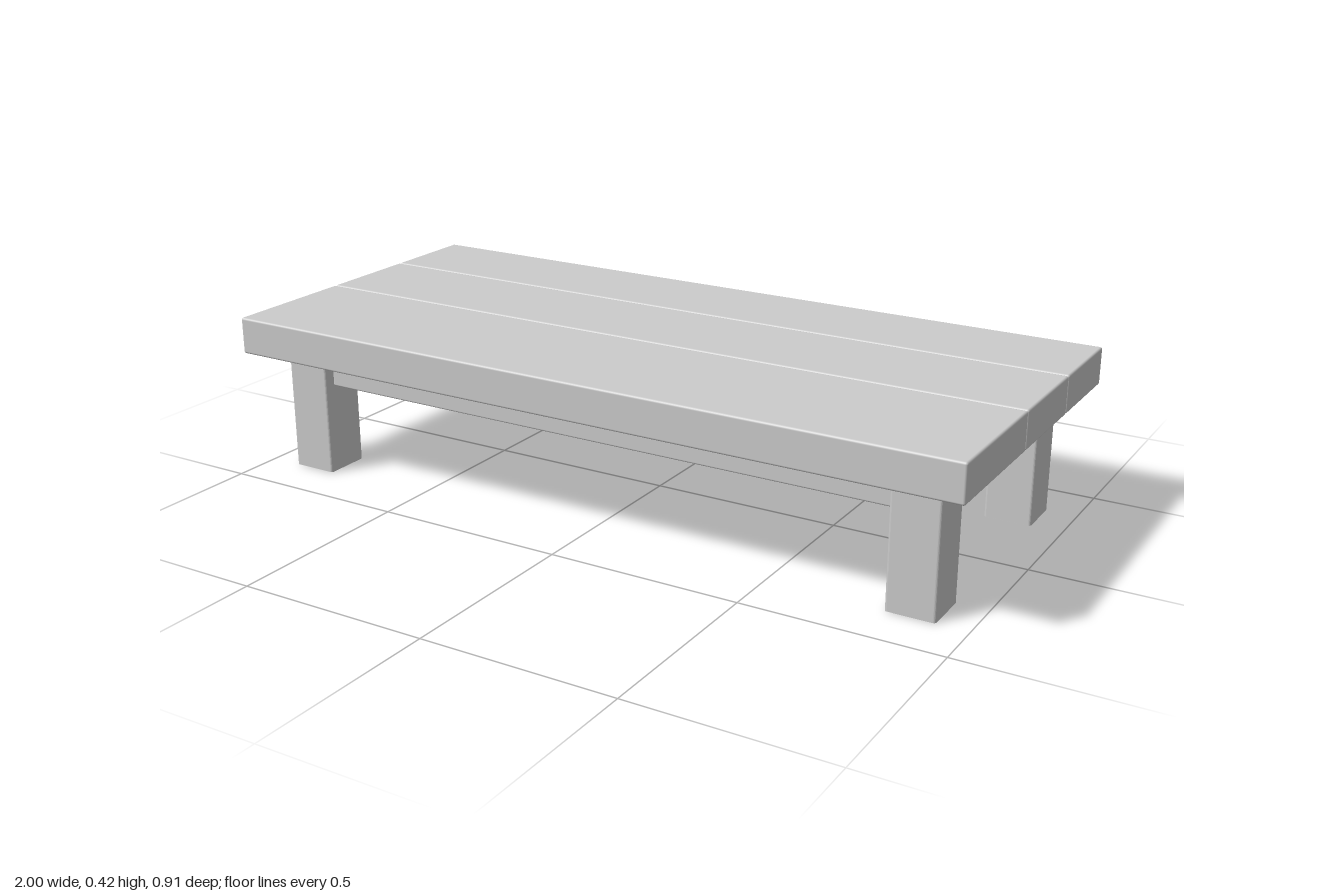
import * as THREE from 'three';
import { RoundedBoxGeometry } from 'three/addons/geometries/RoundedBoxGeometry.js';

const material = new THREE.MeshStandardMaterial({ color: 0xcccccc });

// Softened timber spanning the given minimum and maximum corners
function timber(name, [x0, y0, z0], [x1, y1, z1], radius = 0.006) {
  const mesh = new THREE.Mesh(
    new RoundedBoxGeometry(x1 - x0, y1 - y0, z1 - z0, 3, radius), material);
  mesh.position.set((x0 + x1) / 2, (y0 + y1) / 2, (z0 + z1) / 2);
  mesh.name = name;
  return mesh;
}

// Upright post: rounded along its vertical edges, cut square at both ends
function postGeometry(width, depth, height, r) {
  const x = width / 2, z = depth / 2;
  const shape = new THREE.Shape();
  shape.absarc(x - r, z - r, r, 0, Math.PI / 2);
  shape.absarc(-x + r, z - r, r, Math.PI / 2, Math.PI);
  shape.absarc(-x + r, -z + r, r, Math.PI, Math.PI * 1.5);
  shape.absarc(x - r, -z + r, r, Math.PI * 1.5, Math.PI * 2);
  const geometry = new THREE.ExtrudeGeometry(shape, {
    depth: height, bevelEnabled: false, curveSegments: 4,
  });
  return geometry.rotateX(-Math.PI / 2);
}

export function createModel() {
  const table = new THREE.Group();
  table.name = 'lowTable';

  // Three top planks of unequal width, listed front to back
  const planks = [['frontPlank', 0.087, 0.453], ['middlePlank', -0.193, 0.084], ['backPlank', -0.453, -0.196]];
  for (const [name, z0, z1] of planks) {
    table.add(timber(name, [-1, 0.324, z0], [1, 0.421, z1]));
  }

  // Four legs
  const legGeometry = postGeometry(0.122, 0.124, 0.324, 0.007);
  for (const [side, sx] of [['Left', 1], ['Right', -1]]) {
    for (const [end, sz] of [['front', 1], ['back', -1]]) {
      const leg = new THREE.Mesh(legGeometry, material);
      leg.position.set(sx * 0.859, 0, sz * 0.307);
      leg.name = `${end}${side}Leg`;
      table.add(leg);
    }
  }

  // Rails set between the legs, just behind their outer faces
  const bottom = 0.236, top = 0.322;
  table.add(
    timber('frontRail', [-0.799, bottom, 0.294], [0.799, top, 0.34], 0.005),
    timber('backRail', [-0.799, bottom, -0.34], [0.799, top, -0.294], 0.005),
    timber('leftRail', [0.846, bottom, -0.246], [0.892, top, 0.246], 0.005),
    timber('rightRail', [-0.892, bottom, -0.246], [-0.846, top, 0.246], 0.005),
  );
  return table;
}
